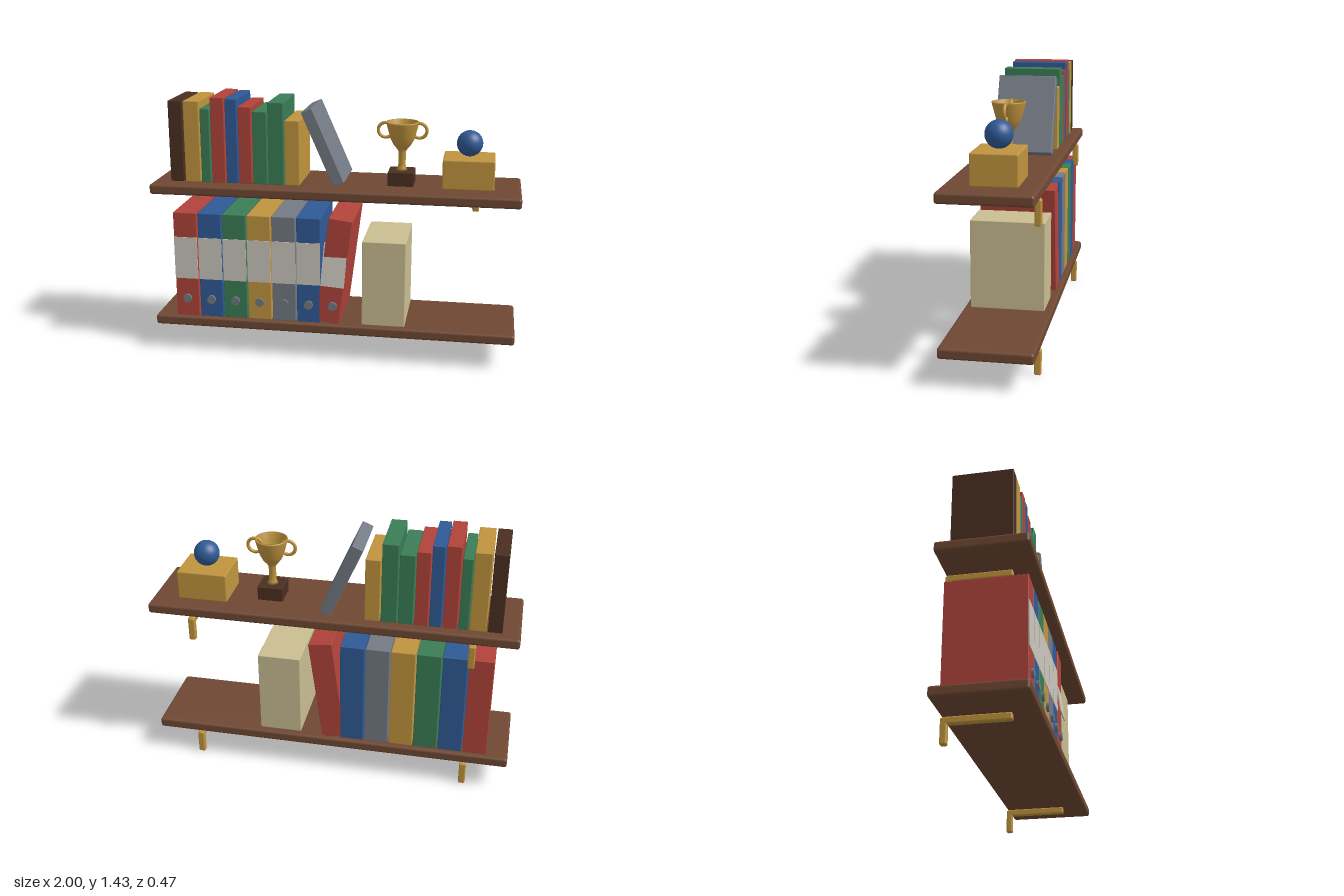
import * as THREE from 'three';
import { RoundedBoxGeometry } from 'three/addons/geometries/RoundedBoxGeometry.js';

const material = (name, color) => {
  const m = new THREE.MeshStandardMaterial({ color });
  m.name = name;
  return m;
};

export function createModel() {
  const mats = {
    wood: material('shelf wood', 0x6f4833),
    dark: material('dark brown', 0x4a2f20),
    gold: material('gold', 0xc0943e),
    red: material('red', 0xb0433a),
    blue: material('blue', 0x2f5a96),
    green: material('green', 0x3a7d55),
    grey: material('grey', 0x737a84),
    cream: material('cream', 0xcabd92),
    label: material('label paper', 0xcbc7bd),
  };
  const group = new THREE.Group();

  const add = (name, geometry, mat, x, y, z, parent = group) => {
    const mesh = new THREE.Mesh(geometry, mats[mat]);
    mesh.name = name;
    mesh.position.set(x, y, z);
    parent.add(mesh);
    return mesh;
  };
  // Softly bevelled box, placed by its centre
  const box = (name, w, h, d, mat, x, y, z, bevel = 0.004, parent = group) =>
    add(name, new RoundedBoxGeometry(w, h, d, 2, bevel), mat, x, y, z, parent);

  // Shelves with their L-shaped brackets
  for (const top of [0.2, 0.96]) {
    box('shelf', 2, 0.056, 0.472, 'wood', 0, top - 0.028, 0, 0.014);
    for (const x of [-0.76, 0.76]) {
      const bracket = new THREE.Group();
      bracket.name = 'bracket';
      bracket.position.set(x, top - 0.2, 0);
      box('bracketArm', 0.037, 0.037, 0.34, 'gold', 0, 0.119, -0.06, 0.008, bracket);
      box('bracketUpright', 0.037, 0.133, 0.035, 'gold', 0, 0.0665, -0.2175, 0.008, bracket);
      group.add(bracket);
    }
  }

  // Upright books on the upper shelf: left edge, right edge, top, colour
  const books = [
    [-0.905, -0.83, 1.405, 'dark'], [-0.821, -0.735, 1.405, 'gold'],
    [-0.729, -0.677, 1.366, 'green'], [-0.67, -0.595, 1.428, 'red'],
    [-0.588, -0.524, 1.422, 'blue'], [-0.518, -0.447, 1.382, 'red'],
    [-0.44, -0.361, 1.358, 'green'], [-0.355, -0.27, 1.409, 'green'],
    [-0.264, -0.184, 1.314, 'gold'],
  ];
  for (const [l, r, top, mat] of books) {
    box('book', r - l, top - 0.96, 0.318, mat, (l + r) / 2, (top + 0.96) / 2, -0.02);
  }
  box('leaningBook', 0.064, 0.437, 0.318, 'grey', -0.057, 1.172, -0.02).rotation.z = 0.413;

  // Ring binders on the lower shelf
  const binderColours = ['red', 'blue', 'green', 'gold', 'grey', 'blue'];
  const knob = new THREE.CylinderGeometry(0.024, 0.024, 0.018, 24).rotateX(Math.PI / 2);
  binderColours.forEach((mat, i) => {
    const x = -0.816 + i * 0.138;
    box('binder', 0.131, 0.6, 0.418, mat, x, 0.5, 0);
    add('binderLabel', new THREE.BoxGeometry(0.13, 0.24, 0.006), 'label', x, 0.54, 0.2095);
    add('binderKnob', knob, 'grey', x, 0.303, 0.214);
  });

  // Leaning binder with a loose label
  box('leaningBinder', 0.131, 0.598, 0.418, 'red', 0.014, 0.502, 0).rotation.z = -0.127;
  const loose = add('looseLabel', new THREE.BoxGeometry(0.13, 0.24, 0.006), 'label', 0.016, 0.54, 0.212);
  loose.rotation.set(-0.13, 0, -0.07);
  add('binderKnob', knob, 'grey', 0.008, 0.303, 0.214);

  // Storage box beside the binders
  box('storageBox', 0.236, 0.48, 0.398, 'cream', 0.286, 0.44, 0.002);

  // Trophy: plinth, lathe-turned cup with a hollow, two ring handles
  const trophy = new THREE.Group();
  trophy.name = 'trophy';
  trophy.position.set(0.356, 0.96, 0);
  group.add(trophy);
  box('trophyBase', 0.14, 0.078, 0.14, 'dark', 0, 0.039, 0, 0.004, trophy);
  const profile = [
    [0, 0.078], [0.03, 0.078], [0.023, 0.09], [0.02, 0.11], [0.02, 0.18], [0.03, 0.196],
    [0.05, 0.22], [0.065, 0.25], [0.076, 0.29], [0.088, 0.335], [0.088, 0.342],
    [0.08, 0.342], [0.068, 0.29], [0.055, 0.25], [0.03, 0.225], [0, 0.215],
  ].map(([r, y]) => new THREE.Vector2(r, y));
  add('trophyCup', new THREE.LatheGeometry(profile, 40), 'gold', 0, 0, 0, trophy);
  for (const side of [-1, 1]) {
    add('trophyHandle', new THREE.TorusGeometry(0.04, 0.009, 12, 32), 'gold', side * 0.091, 0.295, 0, trophy);
  }

  // Small chest with a ball on top
  box('goldBox', 0.276, 0.162, 0.237, 'gold', 0.718, 1.041, -0.019, 0.008);
  add('ball', new THREE.SphereGeometry(0.07, 32, 24), 'blue', 0.717, 1.192, -0.019);

  return group;
}
